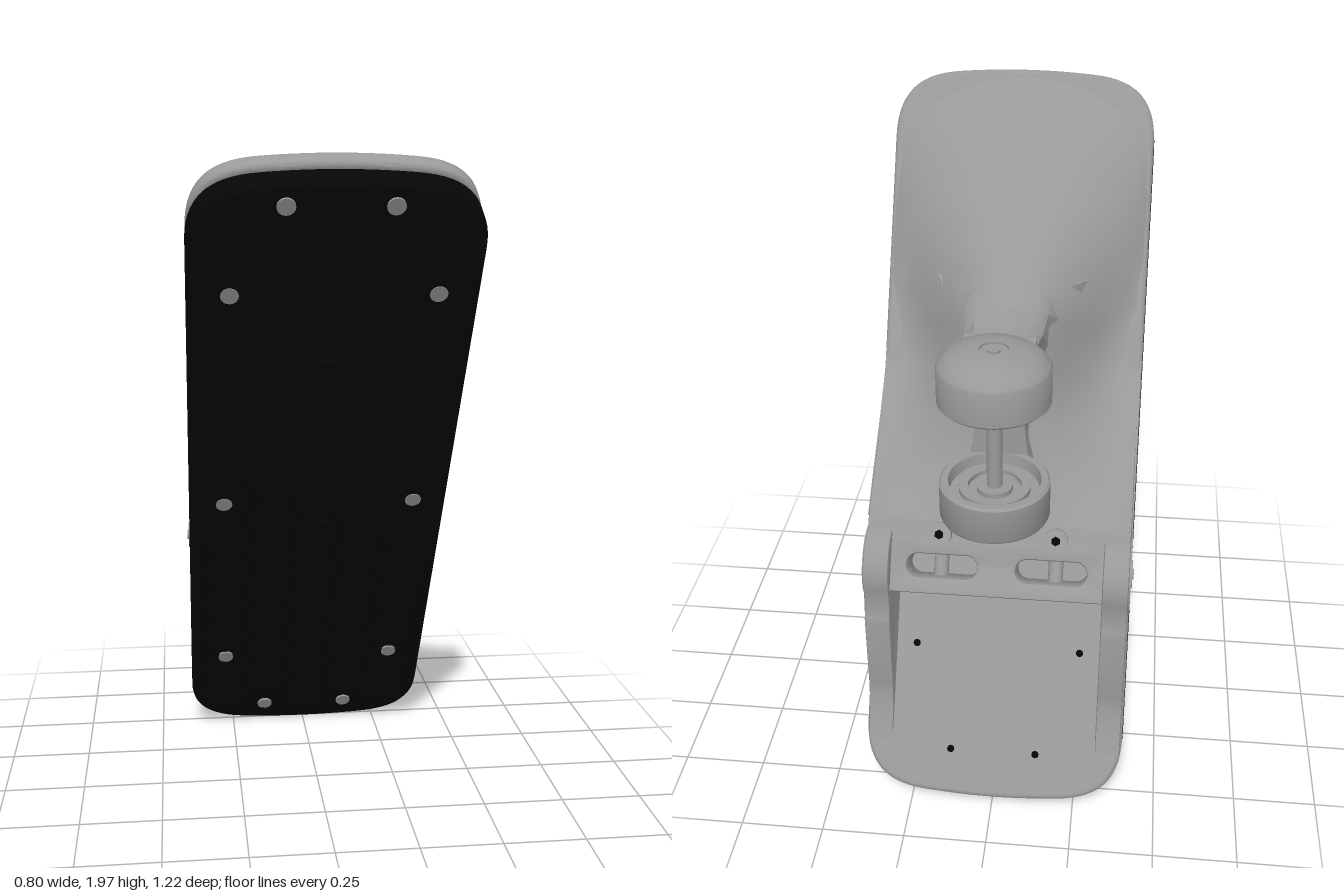
import * as THREE from 'three';
import { toCreasedNormals } from 'three/addons/utils/BufferGeometryUtils.js';

const grey = new THREE.MeshStandardMaterial({ color: 0x999999 });
grey.name = 'satin grey';
const black = new THREE.MeshStandardMaterial({ color: 0x060606 });
black.name = 'rubber black';

function add(parent, name, geometry, material, x = 0, y = 0, z = 0) {
  const mesh = new THREE.Mesh(geometry, material);
  mesh.name = name;
  mesh.position.set(x, y, z);
  parent.add(mesh);
  return mesh;
}

// Skin a row of closed rings and cap both ends
function loft(rings) {
  const n = rings[0].length, pos = rings.flat(2), idx = [];
  for (let i = 0; i < rings.length - 1; i++) {
    for (let j = 0; j < n; j++) {
      const k = (j + 1) % n, a = i * n + j, b = i * n + k;
      idx.push(a, b, b + n, a, b + n, a + n);
    }
  }
  [0, rings.length - 1].forEach((r) => {
    const c = pos.length / 3;
    for (let d = 0; d < 3; d++) pos.push(rings[r].reduce((s, p) => s + p[d], 0) / n);
    for (let j = 0; j < n; j++) {
      const a = r * n + j, b = r * n + (j + 1) % n;
      if (r) idx.push(c, a, b); else idx.push(c, b, a);
    }
  });
  const g = new THREE.BufferGeometry();
  g.setAttribute('position', new THREE.Float32BufferAttribute(pos, 3));
  g.setIndex(idx);
  return toCreasedNormals(g, 0.7);
}

// Rounded board outline with slightly bowed ends
function outline(w, l) {
  const s = new THREE.Shape();
  s.moveTo(w, -0.9);
  s.lineTo(w, 0.9);
  s.bezierCurveTo(w, l - 0.07, 0.32, l - 0.02, 0.2, l - 0.01);
  s.quadraticCurveTo(0, l + 0.008, -0.2, l - 0.01);
  s.bezierCurveTo(-0.32, l - 0.02, -w, l - 0.07, -w, 0.9);
  s.lineTo(-w, -0.9);
  s.bezierCurveTo(-w, -l + 0.07, -0.32, -l + 0.02, -0.2, -l + 0.01);
  s.quadraticCurveTo(0, -l - 0.008, 0.2, -l + 0.01);
  s.bezierCurveTo(0.32, -l + 0.02, w, -l + 0.07, w, -0.9);
  return s;
}

function slab(w, l, back, front, bevel) {
  const g = new THREE.ExtrudeGeometry(outline(w - bevel, l - bevel), {
    depth: front - back - 2 * bevel, bevelSize: bevel, bevelThickness: bevel, bevelSegments: 3, curveSegments: 14,
  });
  return toCreasedNormals(g.translate(0, 0, back + bevel), 0.6);
}

function disc(r, h, sides = 32) {
  return new THREE.CylinderGeometry(r, r, h, sides);
}

function buildBoard() {
  const board = new THREE.Group();
  board.name = 'tiltedBoard';
  add(board, 'rubberPad', slab(0.395, 1.1, -0.085, 0, 0.015), black);
  add(board, 'backPlate', slab(0.393, 1.115, -0.14, -0.08, 0.015), grey);

  // Hexagonal tread and countersunk screws on the pad
  const hex = disc(0.082, 0.016, 6).rotateX(Math.PI / 2).rotateZ(Math.PI / 6);
  for (let c = -2; c <= 2; c++) {
    for (let r = -6; r <= 6; r++) {
      const y = r * 0.158 + (c % 2 ? 0.079 : 0);
      if (Math.abs(y) < 0.99) add(board, 'treadBlock', hex, black, c * 0.14, y, 0);
    }
  }
  const head = disc(0.025, 0.006, 16).rotateX(Math.PI / 2);
  for (const [x, y] of [[0.14, 1.04], [0.28, 0.77], [0.29, 0], [0.28, -0.73], [0.14, -1]]) {
    for (const s of [-1, 1]) add(board, 'padScrew', head, grey, s * x, y, 0.007);
  }

  // Arched shell: position, half width, edge depth, ridge depth, sharpness
  const stations = [
    [1.09, 0.18, 0.13, 0.138, 1], [1.0, 0.32, 0.13, 0.18, 1], [0.9, 0.385, 0.13, 0.225, 0.8],
    [0.7, 0.39, 0.13, 0.305, 0.8], [0.56, 0.39, 0.13, 0.36, 1], [0.42, 0.39, 0.13, 0.427, 1.5],
    [0.33, 0.39, 0.13, 0.48, 2.2], [0.2, 0.39, 0.14, 0.45, 3], [0.05, 0.39, 0.19, 0.4, 2],
    [-0.12, 0.39, 0.26, 0.36, 1], [-0.25, 0.39, 0.31, 0.36, 0.5],
  ];
  const steps = 24;
  add(board, 'archedShell', loft(stations.map(([y, w, e, r, k]) => {
    const ring = [[w, y, -0.09], [-w, y, -0.09]];
    for (let i = 0; i <= steps; i++) {
      const t = (i / steps) * 2 - 1;
      const rise = Math.pow(Math.max(0, Math.cos(t * Math.PI / 2)), k);
      ring.push([t * w, y, -(e + (r - e) * rise)]);
    }
    return ring;
  })), grey);

  // Side cheeks with round pivot bosses
  const cheek = new THREE.Shape();
  cheek.moveTo(0.09, 0.13);
  cheek.lineTo(0.15, 0.13);
  cheek.lineTo(0.31, -0.23);
  cheek.absarc(0.244, -0.385, 0.125, 1.0, -0.6, true);
  cheek.quadraticCurveTo(0.305, -0.51, 0.298, -0.561);
  cheek.lineTo(0.18, -0.765);
  cheek.quadraticCurveTo(0.145, -0.82, 0.135, -0.95);
  cheek.lineTo(0.09, -0.95);
  const cheekGeo = toCreasedNormals(new THREE.ExtrudeGeometry(cheek, {
    depth: 0.06, bevelSize: 0.008, bevelThickness: 0.008, bevelSegments: 2, curveSegments: 20,
  }).rotateY(Math.PI / 2), 0.6);
  const layers = [['bossRim', 0.125, 0.386], ['bossDisc', 0.113, 0.392], ['bossHub', 0.042, 0.396], ['bossPin', 0.016, 0.4]];
  for (const s of [-1, 1]) {
    add(board, 'sideCheek', cheekGeo, grey, s * 0.349 - 0.03, 0, 0);
    for (const [name, r, x] of layers) {
      add(board, name, disc(r, 0.06, 40).rotateZ(Math.PI / 2), grey, s * (x - 0.03), -0.385, -0.244);
    }
    // Floor rivets
    for (const [x, y] of [[0.25, -0.65], [0.13, -0.97]]) {
      add(board, 'floorRivet', disc(0.011, 0.005, 12).rotateX(Math.PI / 2), black, s * x, y, -0.141);
    }
  }

  // Hinge bar with two slots
  const bar = new THREE.Shape();
  bar.moveTo(-0.33, -0.075);
  bar.lineTo(0.33, -0.075);
  bar.lineTo(0.33, 0.075);
  bar.lineTo(-0.33, 0.075);
  for (const s of [-1, 1]) {
    const slot = new THREE.Path();
    slot.absarc(s * 0.16 + 0.07, 0, 0.042, -Math.PI / 2, Math.PI / 2, false);
    slot.absarc(s * 0.16 - 0.07, 0, 0.042, Math.PI / 2, Math.PI * 1.5, false);
    bar.holes.push(slot);
    add(board, 'barScrew', disc(0.035, 0.025, 20).rotateX(Math.PI / 2), grey, s * 0.17, -0.29, -0.34);
    add(board, 'screwSocket', disc(0.014, 0.006, 6).rotateX(Math.PI / 2), black, s * 0.17, -0.29, -0.352);
    add(board, 'slotPin', disc(0.022, 0.16, 16), grey, s * 0.17, -0.385, -0.26);
  }
  const barGeo = new THREE.ExtrudeGeometry(bar, { depth: 0.1, bevelSize: 0.008, bevelThickness: 0.008, bevelSegments: 2 });
  add(board, 'hingeBar', toCreasedNormals(barGeo, 0.6), grey, 0, -0.385, -0.325);
  add(board, 'barLedge', new THREE.BoxGeometry(0.64, 0.08, 0.1), grey, 0, -0.28, -0.28);
  return board;
}

function buildFork() {
  const fork = new THREE.Group();
  fork.name = 'axleFork';

  // Waisted neck: z, top, top width, waist width, bottom width, bottom
  const sections = [
    [0.05, 1.58, 0.1, 0.2, 0.25, 1.25], [-0.05, 1.545, 0.12, 0.15, 0.2, 1.1], [-0.12, 1.515, 0.12, 0.11, 0.16, 1.04],
    [-0.2, 1.488, 0.11, 0.08, 0.13, 1.0], [-0.26, 1.485, 0.1, 0.07, 0.11, 0.99], [-0.31, 1.48, 0.1, 0.07, 0.1, 0.99],
  ];
  add(fork, 'neck', loft(sections.map(([z, t, wt, ww, wb, b]) => {
    const m = (t + b) / 2;
    const side = [[wt * 0.75, t - 0.01], [wt, t - 0.04], [ww * 1.1, m + 0.09], [ww, m], [ww * 1.1, m - 0.09], [wb, b + 0.05], [wb * 0.7, b + 0.01]];
    return [...side.map(([x, y]) => [x, y, z]), [0, b, z],
      ...side.slice().reverse().map(([x, y]) => [-x, y, z]), [0, t, z]];
  })), grey);
  add(fork, 'upperArm', new THREE.BoxGeometry(0.2, 0.08, 0.12), grey, 0, 1.44, -0.33);
  add(fork, 'lowerArm', new THREE.BoxGeometry(0.2, 0.08, 0.12), grey, 0, 1.05, -0.33);

  // Hollow end cups, profile given outwards from the gap
  const cup = [[0, 0.02], [0.05, 0.02], [0.05, 0.035], [0.075, 0.035], [0.075, 0.02], [0.1, 0.02], [0.1, 0.035],
    [0.125, 0.035], [0.13, 0], [0.148, 0], [0.155, 0.007], [0.155, 0.105], [0.15, 0.115]];
  const lathe = (pts) => toCreasedNormals(new THREE.LatheGeometry(pts.map(([x, y]) => new THREE.Vector2(x, y)), 48), 0.6);
  const dome = [[0.125, 0.138], [0.085, 0.151], [0.04, 0.156], [0.04, 0.15], [0.018, 0.15], [0.018, 0.157], [0, 0.157]];
  add(fork, 'upperCup', lathe([...cup, ...dome]), grey, 0, 1.37, -0.44);
  const lower = add(fork, 'lowerCup', lathe([...cup, [0.12, 0.128], [0, 0.13]]), grey, 0, 1.122, -0.44);
  lower.rotation.z = Math.PI;
  add(fork, 'axle', disc(0.022, 0.32, 20), grey, 0, 1.246, -0.44);

  // Lug joining the lower cup to the shell
  const lug = new THREE.Shape([[0.2, 1.05], [0.48, 1.02], [0.47, 0.975], [0.38, 0.92], [0.28, 0.95]].map(([x, y]) => new THREE.Vector2(x, y)));
  const lugGeo = new THREE.ExtrudeGeometry(lug, { depth: 0.14, bevelSize: 0.01, bevelThickness: 0.02, bevelSegments: 3 });
  add(fork, 'lowerLug', toCreasedNormals(lugGeo.rotateY(Math.PI / 2), 0.6), grey, -0.07, 0, 0);
  return fork;
}

export function createModel() {
  const model = new THREE.Group();
  model.name = 'hingedFootPad';
  const board = buildBoard();
  board.rotation.x = 0.527;
  board.position.set(0, 0.955, 0.06);
  model.add(board, buildFork());
  return model;
}
